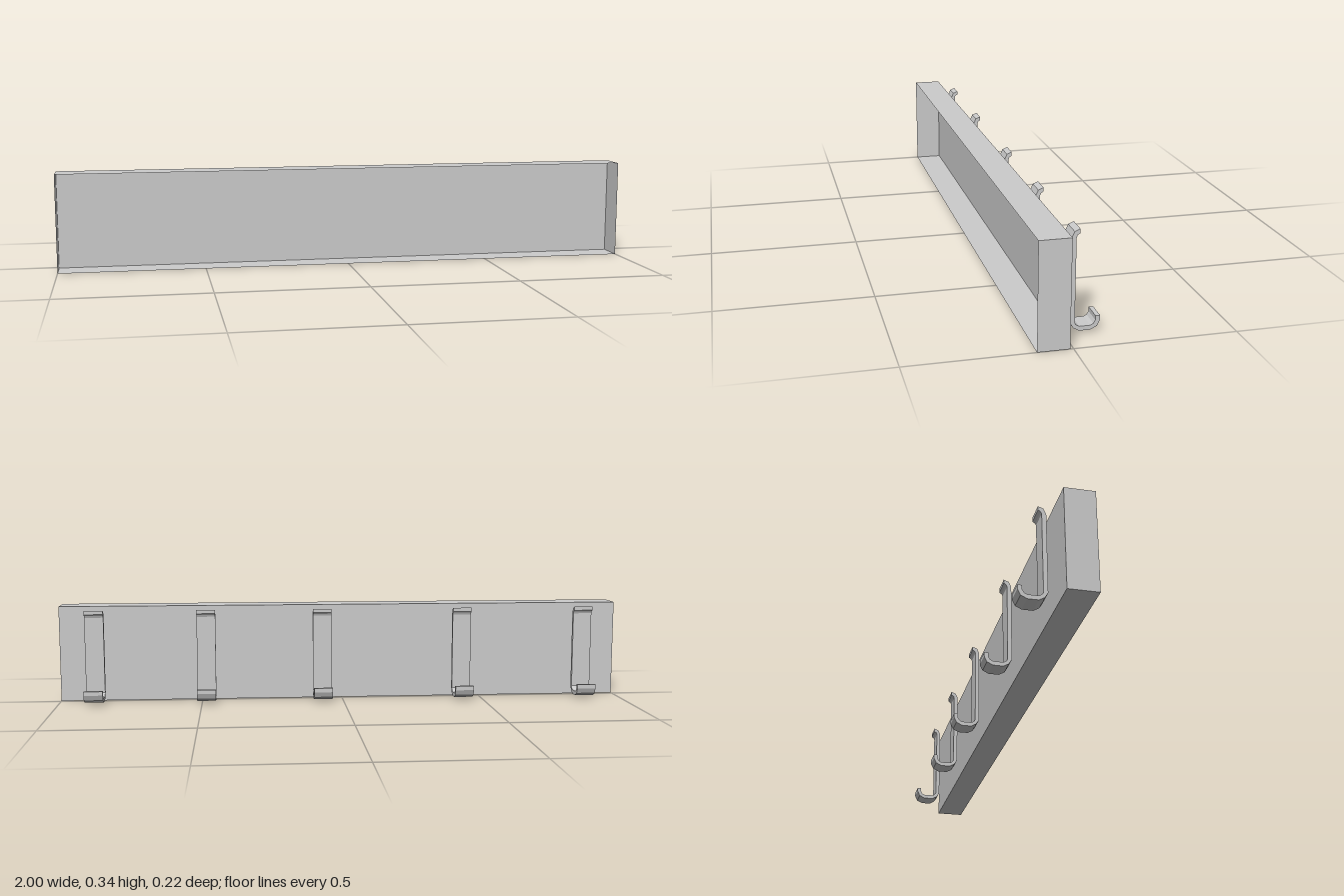
import * as THREE from 'three';

const HOOK_WIDTH = 0.066;
const HOOK_X = [-0.872, -0.43, 0.073, 0.484, 0.874];

// Closed hook outline as [distance behind the board, height]
const HOOK_OUTLINE = [
  [0.042, 0.326], [0.025, 0.319], [0.017, 0.301], [0.017, 0.035],
  [0.027, 0.019], [0.045, 0.009], [0.079, 0.009], [0.099, 0.019],
  [0.108, 0.038], [0.108, 0.052], [0.094, 0.052], [0.094, 0.038],
  [0.088, 0.028], [0.079, 0.023], [0.045, 0.023], [0.036, 0.028],
  [0.031, 0.035], [0.031, 0.301], [0.034, 0.308], [0.042, 0.313],
];

export function createModel() {
  const model = new THREE.Group();
  model.name = 'hookRail';

  // Thin-walled rail, open at the front: a box without its +z face
  const railGeometry = new THREE.BoxGeometry(2, 0.337, 0.098);
  const index = Array.from(railGeometry.index.array);
  index.splice(24, 6);
  railGeometry.setIndex(index);
  railGeometry.clearGroups();
  const rail = new THREE.Mesh(
    railGeometry,
    new THREE.MeshStandardMaterial({ color: 0xcccccc, side: THREE.DoubleSide }),
  );
  rail.name = 'rail';
  rail.position.set(0, 0.1685, 0.059);
  model.add(rail);

  // Bent strip hooks behind the rail
  const outline = new THREE.Shape(HOOK_OUTLINE.map(([d, y]) => new THREE.Vector2(d, y)));
  const hookGeometry = new THREE.ExtrudeGeometry(outline, { depth: HOOK_WIDTH, bevelEnabled: false });
  hookGeometry.translate(0, 0, -HOOK_WIDTH / 2);
  hookGeometry.rotateY(Math.PI / 2);
  const hookMaterial = new THREE.MeshStandardMaterial({ color: 0xcccccc, flatShading: true });
  HOOK_X.forEach((x, i) => {
    const hook = new THREE.Mesh(hookGeometry, hookMaterial);
    hook.name = `hook${i + 1}`;
    hook.position.x = x;
    model.add(hook);
  });

  return model;
}
